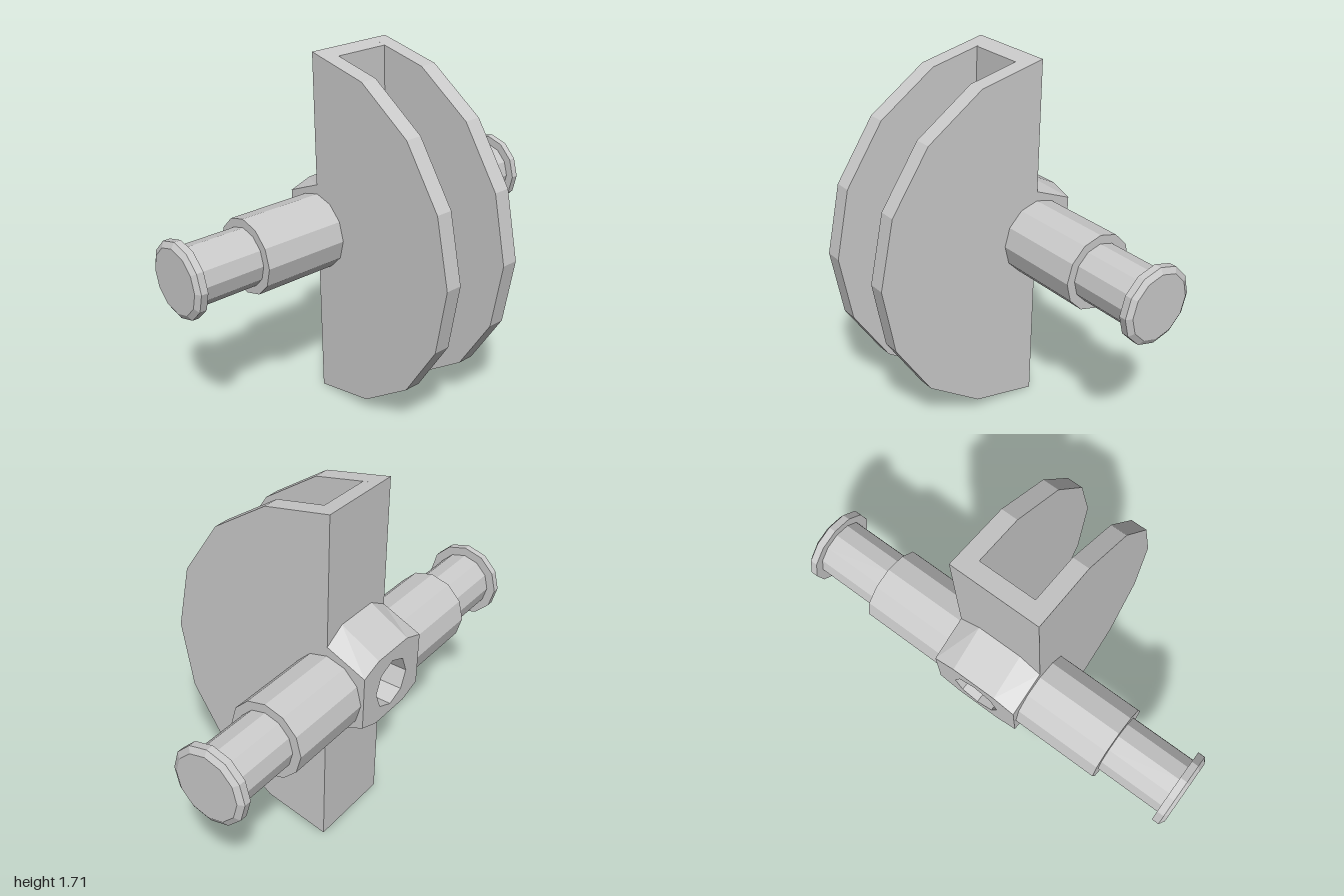
import * as THREE from 'three';

const CX = -0.33, CY = 0.858, R = 0.856; // pivot axis and half-disc radius
const WALL = 0.085, IN = 0.135, OUT = 0.215; // wall depth, inner and outer half widths
const HOLE = 0.117, BACK = -0.525;

const material = new THREE.MeshStandardMaterial({ color: 0xcccccc, flatShading: true });

function addMesh(group, name, geometry) {
  const mesh = new THREE.Mesh(geometry, material);
  mesh.name = name;
  group.add(mesh);
  return mesh;
}

// Octagonal bore outline as [z, y] pairs
const bore = Array.from({ length: 8 }, (_, i) => {
  const a = (i * Math.PI) / 4;
  return [HOLE * Math.cos(a), CY + 0.005 + HOLE * Math.sin(a)];
});

// Half of a 16-sided disc, flat edge at the back
function cheekGeometry() {
  const pts = [];
  for (let i = 0; i <= 8; i++) {
    const a = -Math.PI / 2 + (i * Math.PI) / 8;
    pts.push(new THREE.Vector2(CX + R * Math.cos(a), CY + R * Math.sin(a)));
  }
  return new THREE.ExtrudeGeometry(new THREE.Shape(pts), { depth: OUT - IN, bevelEnabled: false });
}

// Bored wall joining the cheeks; its front edge follows the disc rim
function wallGeometry() {
  const shape = new THREE.Shape([
    new THREE.Vector2(-IN, CY - R), new THREE.Vector2(IN, CY - R),
    new THREE.Vector2(IN, CY + R), new THREE.Vector2(-IN, CY + R),
  ]);
  shape.holes.push(new THREE.Path(bore.map(([z, y]) => new THREE.Vector2(z, y))));
  const g = new THREE.ExtrudeGeometry(shape, { depth: WALL, bevelEnabled: false });
  const p = g.attributes.position;
  for (let i = 0; i < p.count; i++) {
    const dy = p.getY(i) - CY;
    if (p.getZ(i) > WALL / 2 && Math.abs(dy) > R * 0.9) p.setY(i, CY + dy - Math.sign(dy) * 0.017);
  }
  g.rotateY(Math.PI / 2).translate(CX, 0, 0);
  g.computeVertexNormals();
  return g;
}

// Tapered eight-sided boss with the bore through it, lofted ring to ring
function bossGeometry() {
  const octagon = (h, cut) => [
    [OUT, h - cut], [0.11, h], [-0.11, h], [-OUT, h - cut],
    [-OUT, cut - h], [-0.11, -h], [0.11, -h], [OUT, cut - h],
  ].map(([z, y]) => [z, y + 0.872]);
  const rings = [
    [CX, octagon(0.274, 0.06)],
    [BACK, octagon(0.167, 0.037)],
    [BACK, bore],
    [CX, bore],
  ].map(([x, ring]) => ring.map(([z, y]) => [x, y, z]));
  const pos = [];
  for (let r = 0; r < rings.length - 1; r++) {
    for (let i = 0; i < 8; i++) {
      const j = (i + 1) % 8, p = rings[r], q = rings[r + 1];
      pos.push(...p[i], ...p[j], ...q[j], ...p[i], ...q[j], ...q[i]);
    }
  }
  const g = new THREE.BufferGeometry();
  g.setAttribute('position', new THREE.Float32BufferAttribute(pos, 3));
  g.computeVertexNormals();
  return g;
}

// Stepped twelve-sided pin with a chamfered end rim
function axleGeometry() {
  const profile = [
    [0, OUT], [0.182, OUT], [0.182, 0.635], [0.14, 0.635], [0.14, 0.95],
    [0.182, 0.95], [0.182, 0.984], [0.155, 1], [0, 1],
  ].map(([r, y]) => new THREE.Vector2(r, y));
  return new THREE.LatheGeometry(profile, 12);
}

export function createModel() {
  const model = new THREE.Group();
  model.name = 'pivotBracket';

  const cheek = cheekGeometry();
  addMesh(model, 'frontCheek', cheek).position.z = IN;
  addMesh(model, 'rearCheek', cheek).position.z = -OUT;
  addMesh(model, 'backWall', wallGeometry());
  addMesh(model, 'boredBoss', bossGeometry());

  const axle = axleGeometry();
  for (const [name, side] of [['frontAxle', 1], ['rearAxle', -1]]) {
    const pin = addMesh(model, name, axle);
    pin.rotation.x = (side * Math.PI) / 2;
    pin.position.set(CX, CY, 0);
  }
  return model;
}
